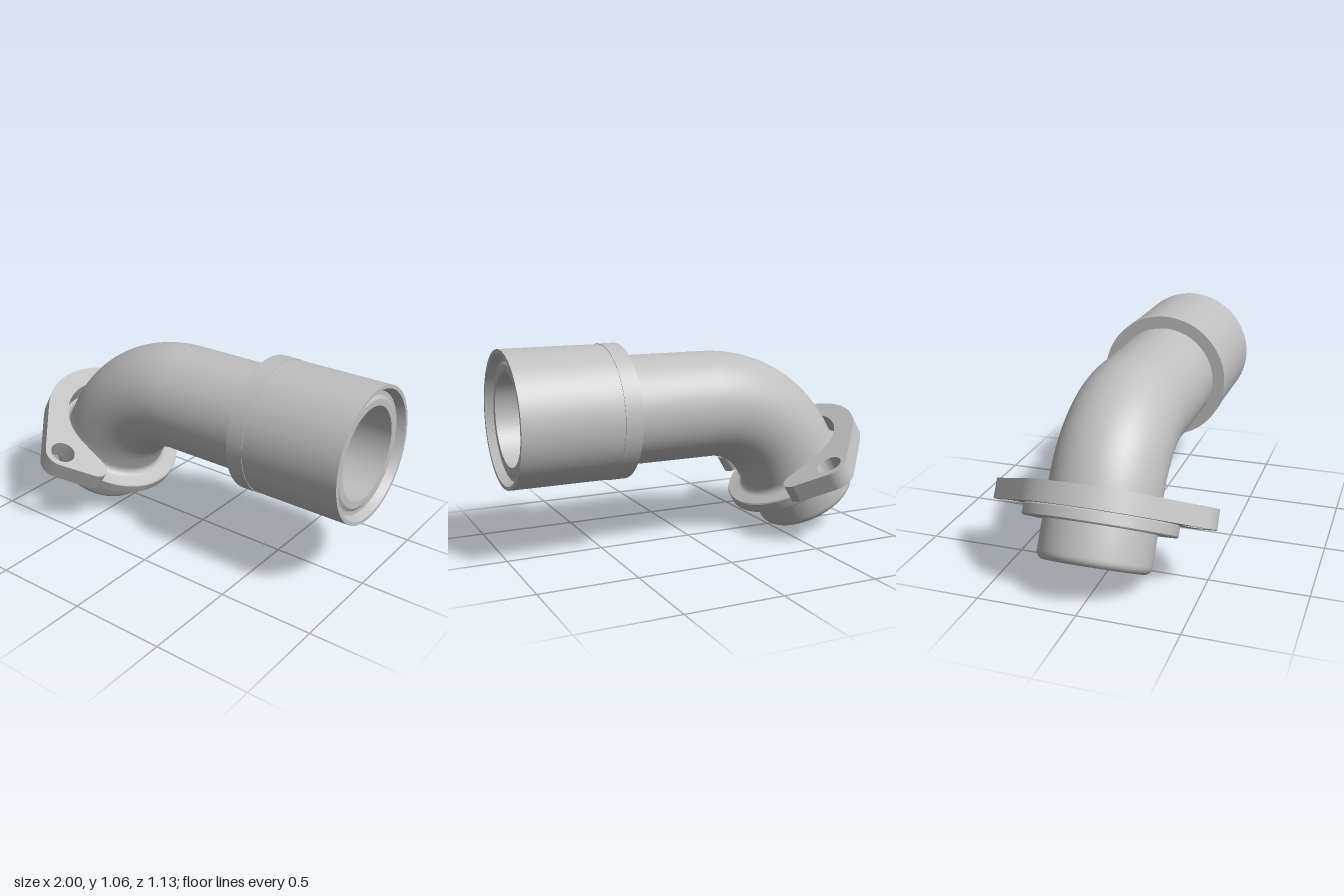
import * as THREE from 'three';
import { toCreasedNormals } from 'three/addons/utils/BufferGeometryUtils.js';

const PIPE = 0.28, BORE = 0.235, BEND = 0.55, AXIS_Y = 0.725, BEND_X = -0.1;

export function createModel() {
  const model = new THREE.Group();
  const metal = new THREE.MeshStandardMaterial({ color: 0xbfbfbf, side: THREE.DoubleSide });
  metal.name = 'light grey metal';

  function add(parent, name, geometry, crease = true) {
    const mesh = new THREE.Mesh(crease ? toCreasedNormals(geometry, 0.5) : geometry, metal);
    mesh.name = name;
    parent.add(mesh);
    return mesh;
  }
  const lathe = (pts) => new THREE.LatheGeometry(pts.map(([r, y]) => new THREE.Vector2(r, y)), 96);
  // quarter-round profile points around (cx, cy)
  const arc = (cx, cy, r, from, to, n = 5) => Array.from({ length: n + 1 }, (_, i) => {
    const a = THREE.MathUtils.degToRad(from + (to - from) * i / n);
    return [cx + r * Math.cos(a), cy + r * Math.sin(a)];
  });

  // Straight pipe and socket, turned about the x axis
  const straight = new THREE.Group();
  straight.name = 'straightSection';
  straight.position.y = AXIS_Y;
  straight.rotation.z = -Math.PI / 2;
  model.add(straight);
  add(straight, 'straightPipe', lathe([[PIPE, BEND_X], [PIPE, 0.4]]));
  add(straight, 'straightBore', lathe([[BORE, 0.97], [BORE, BEND_X]]));
  add(straight, 'socket', lathe([
    [PIPE, 0.4], [0.346, 0.4], [0.346, 0.49], [0.343, 0.49], [0.343, 1], [0.325, 1],
    [0.305, 0.96], [0.285, 0.96], [0.268, 0.97], [BORE, 0.97],
  ]));

  // Sixty-degree elbow, outside and bore
  for (const [name, r] of [['elbow', PIPE], ['elbowBore', BORE]]) {
    const geo = new THREE.TorusGeometry(BEND, r, 64, 40, Math.PI / 3);
    if (r === BORE) {
      // turn the bore surface inwards
      geo.index.array.reverse();
      const n = geo.attributes.normal;
      for (let i = 0; i < n.count; i++) n.setXYZ(i, -n.getX(i), -n.getY(i), -n.getZ(i));
    }
    geo.rotateZ(Math.PI / 2);
    add(model, name, geo, false).position.set(BEND_X, AXIS_Y - BEND, 0);
  }

  // Tilted end: local y runs back up the pipe
  const end = new THREE.Group();
  end.name = 'flangedEnd';
  end.position.set(BEND_X - BEND * Math.sin(Math.PI / 3), AXIS_Y - BEND / 2, 0);
  end.rotation.z = -Math.PI / 6;
  model.add(end);

  // Spigot with rounded lip, collar disc and filleted neck
  add(end, 'spigotAndCollar', lathe([
    [BORE, 0], [BORE, -0.365],
    ...arc(0.24, -0.325, 0.04, -90, 0),
    [PIPE, -0.17], [0.374, -0.17], [0.38, -0.164], [0.38, -0.116], [0.374, -0.11],
    ...arc(0.315, -0.075, 0.035, 270, 180),
    [PIPE, 0],
  ]));

  // Slotted clamp plate with two bolt ears
  const ear = THREE.MathUtils.degToRad(50.8), back = THREE.MathUtils.degToRad(135.1);
  const q = Math.PI / 2;
  const outline = new THREE.Shape();
  outline.absarc(0.172, 0.375, 0.06, -q, ear, false);
  outline.absarc(0, 0.47, 0.095, ear, back, false);
  outline.absarc(0, 0, 0.427, back, 2 * Math.PI - back, false);
  outline.absarc(0, -0.47, 0.095, -back, -ear, false);
  outline.absarc(0.172, -0.375, 0.06, -ear, q, false);
  outline.absarc(0, 0, 0.315, -q, q, true);
  for (const side of [1, -1]) {
    const hole = new THREE.Path();
    hole.absarc(0, side * 0.47, 0.065, 0, Math.PI * 2, true);
    outline.holes.push(hole);
  }
  const plate = new THREE.ExtrudeGeometry(outline, { depth: 0.1, bevelEnabled: false, curveSegments: 32 });
  plate.rotateX(Math.PI / 2);
  add(end, 'clampPlate', plate).position.y = -0.01;

  return model;
}
